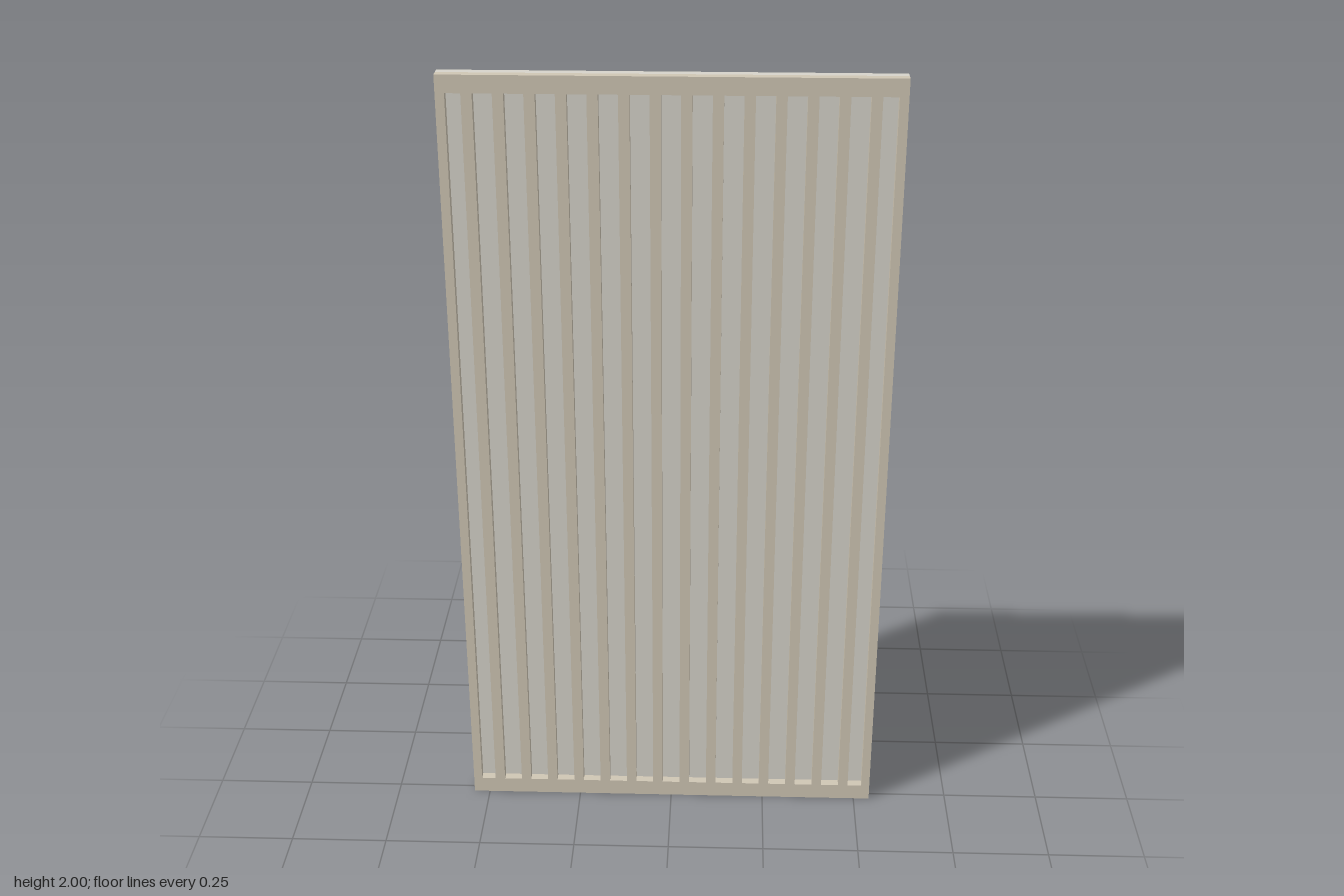
import * as THREE from 'three';

const W = 1.084, H = 2, D = 0.045; // overall panel size
const RAIL = 0.043, STILE = 0.022, SLAT = 0.026, SLATS = 14;

export function createModel() {
  const group = new THREE.Group();
  group.name = 'slattedPanel';
  const frameMat = new THREE.MeshStandardMaterial({ color: 0xcfc6b4 });
  const backMat = new THREE.MeshStandardMaterial({ color: 0xd6d3ca });

  const box = (name, w, h, d, x, y, z, mat) => {
    const mesh = new THREE.Mesh(new THREE.BoxGeometry(w, h, d), mat);
    mesh.name = name;
    mesh.position.set(x, y, z);
    group.add(mesh);
  };

  // Solid backing board: rear half of the thickness
  box('backPanel', W, H, D / 2, 0, H / 2, -D / 4, backMat);

  // Front frame: rails across the full width, stiles between them
  const d = D / 2, z = D / 4, innerH = H - 2 * RAIL;
  box('topRail', W, RAIL, d, 0, H - RAIL / 2, z, frameMat);
  box('bottomRail', W, RAIL, d, 0, RAIL / 2, z, frameMat);
  box('leftStile', STILE, innerH, d, (W - STILE) / 2, H / 2, z, frameMat);
  box('rightStile', STILE, innerH, d, -(W - STILE) / 2, H / 2, z, frameMat);

  // Evenly spaced vertical slats
  const pitch = W / (SLATS + 1);
  for (let i = 1; i <= SLATS; i++) {
    box('slat' + i, SLAT, innerH, d, -W / 2 + i * pitch, H / 2, z, frameMat);
  }
  return group;
}
